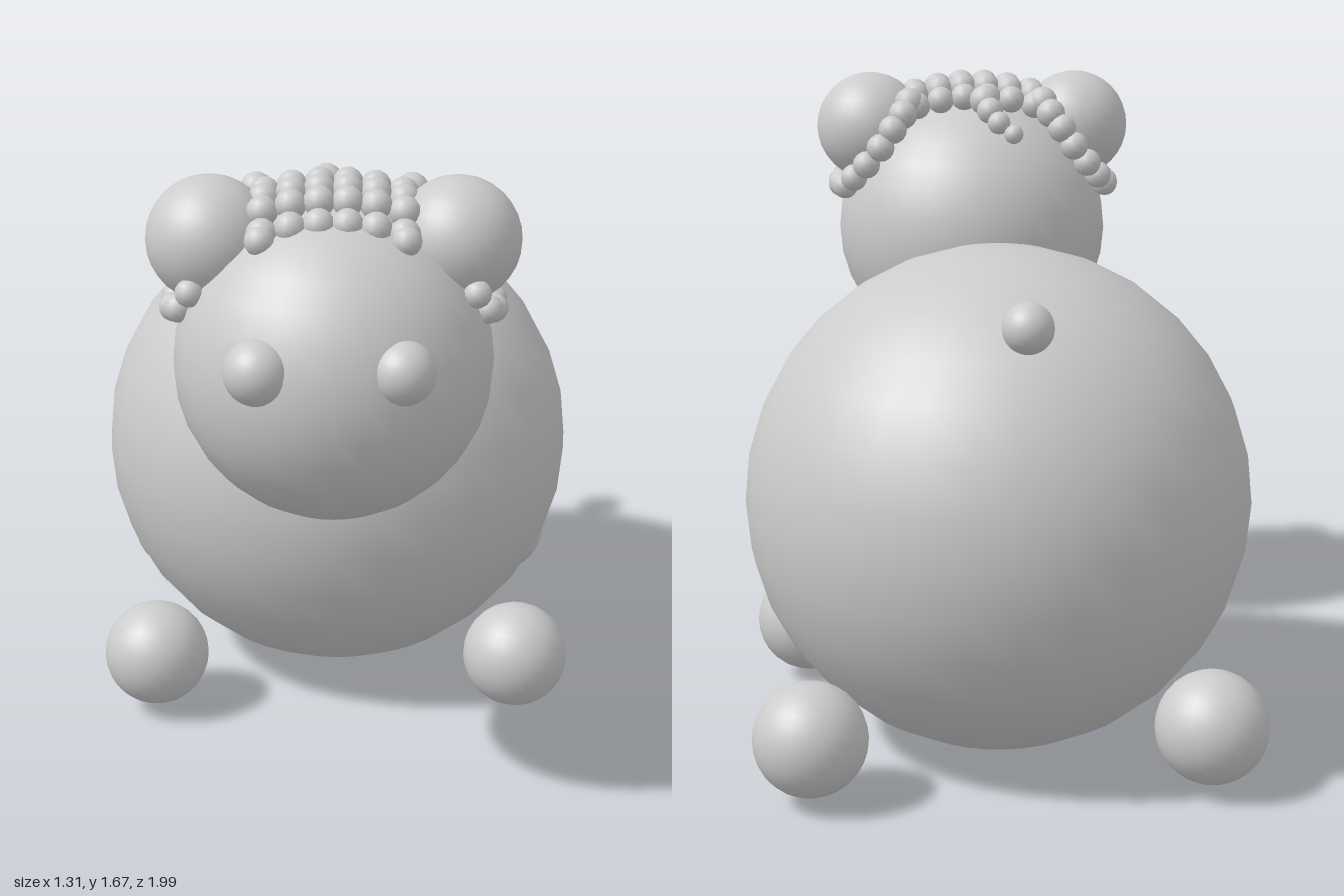
import * as THREE from 'three';

export function createModel() {
  const model = new THREE.Group();
  const material = new THREE.MeshStandardMaterial({ color: 0xcccccc });

  function ball(name, r, x, y, z, parent = model, detail = 32) {
    const mesh = new THREE.Mesh(new THREE.SphereGeometry(r, detail, detail / 2), material);
    mesh.name = name;
    mesh.position.set(x, y, z);
    parent.add(mesh);
    return mesh;
  }

  function group(name) {
    const g = new THREE.Group();
    g.name = name;
    model.add(g);
    return g;
  }

  // Body, head and floating tail
  ball('body', 0.657, 0, 0.663, -0.34);
  ball('head', 0.389, 0, 1.22, 0.6);
  ball('tail', 0.062, -0.025, 1.222, -0.865);

  // Eyes
  ball('leftEye', 0.077, 0.163, 1.3, 0.915);
  ball('rightEye', 0.079, -0.172, 1.3, 0.915);

  // Ears and feet
  for (const [side, s] of [['left', 1], ['right', -1]]) {
    ball(side + 'Ear', 0.154, s * 0.297, 1.518, 0.575);
    ball(side + 'FrontFoot', 0.144, s * 0.5, 0.176, 0.115);
    ball(side + 'BackFoot', 0.144, s * 0.5, 0.176, -0.77);
  }

  // Rows of beads over the crown: [z, y at the middle]
  const crown = group('crownBeads');
  const rows = [[0.435, 1.615], [0.505, 1.638], [0.575, 1.64], [0.645, 1.63], [0.7, 1.59]];
  for (const [z, y] of rows) {
    for (let i = 0; i < 6; i++) {
      const x = (i - 2.5) * 0.067;
      ball('crownBead', 0.038, x, y - 0.9 * x * x, z, crown, 16);
    }
  }

  // Strand of beads curling behind and below each ear
  const strand = [
    [0.19, 1.6, 0.43], [0.21, 1.57, 0.395], [0.24, 1.53, 0.375], [0.275, 1.48, 0.37],
    [0.315, 1.43, 0.385], [0.35, 1.39, 0.415], [0.375, 1.36, 0.465], [0.385, 1.355, 0.535],
    [0.385, 1.355, 0.605], [0.37, 1.37, 0.66], [0.34, 1.42, 0.7],
  ];
  for (const [side, s] of [['left', 1], ['right', -1]]) {
    const beads = group(side + 'EarStrand');
    strand.forEach(([x, y, z], i) => {
      ball('strandBead', 0.042 - 0.0008 * i, s * x, y, z, beads, 16);
    });
    // Last bead of the fringe, half sunk in the forehead
    ball('fringeBead', 0.036, s * 0.172, 1.555, 0.725, beads, 16);
  }

  // Short tapering lock at the back of the head
  const lock = group('backLock');
  const lockPoints = [
    [-0.02, 1.61, 0.385], [-0.033, 1.585, 0.345], [-0.055, 1.555, 0.305], [-0.095, 1.525, 0.285],
  ];
  lockPoints.forEach(([x, y, z], i) => ball('lockBead', 0.042 - 0.005 * i, x, y, z, lock, 16));

  return model;
}
